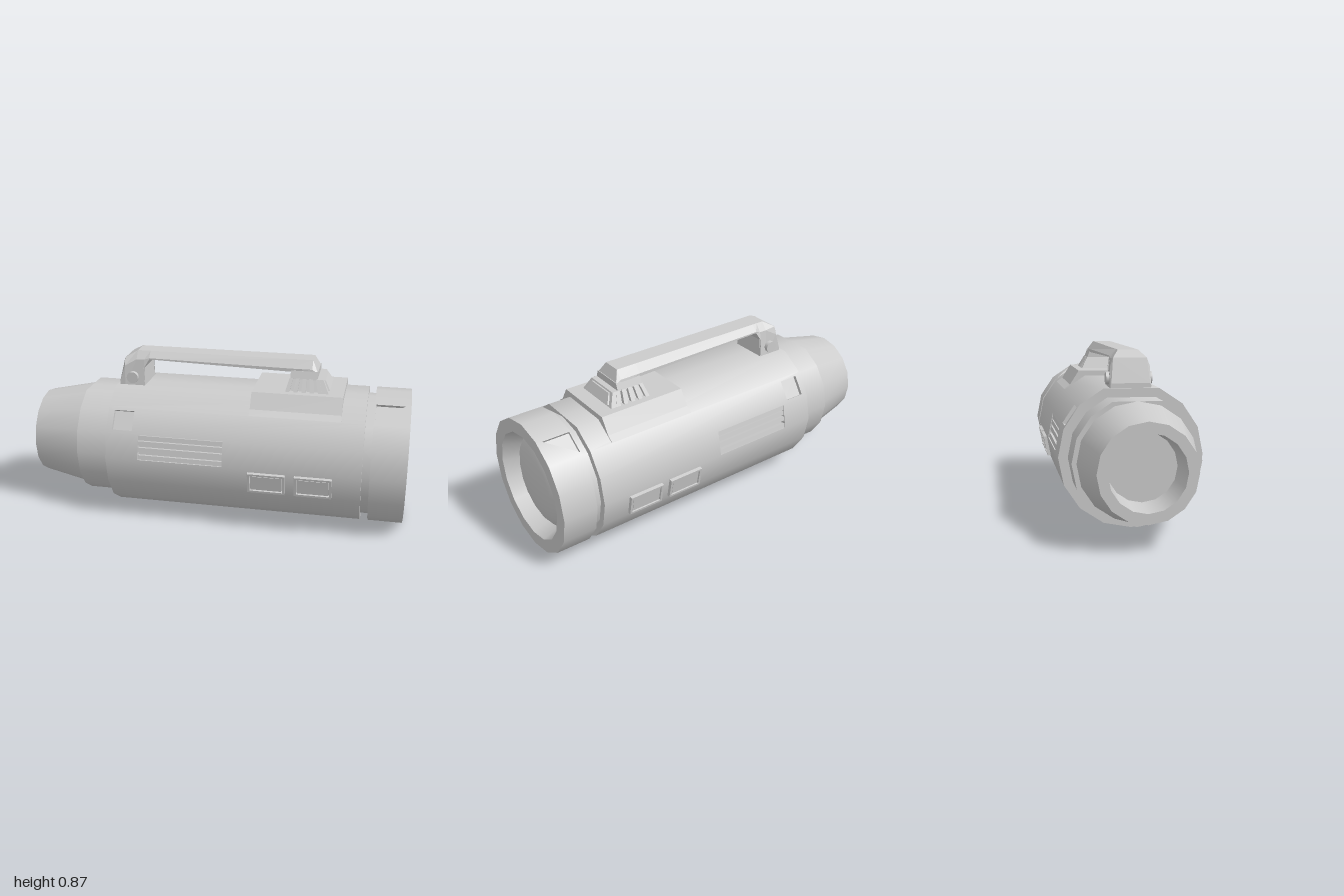
import * as THREE from 'three';
import { mergeGeometries } from 'three/addons/utils/BufferGeometryUtils.js';
import { ConvexGeometry } from 'three/addons/geometries/ConvexGeometry.js';

const CY = 0.357, R = 0.357, STEP = Math.PI / 8;
const H = R * Math.sin(STEP / 2), APOTHEM = R * Math.cos(STEP / 2);
const FLAT_BODY = CY + R * Math.cos(STEP), FLAT_REAR = CY + 0.31 * Math.cos(STEP);
const mat = new THREE.MeshStandardMaterial({ color: 0xcccccc });

function add(parent, name, geo) {
  const mesh = new THREE.Mesh(geo, mat);
  mesh.name = name;
  parent.add(mesh);
  return mesh;
}

// Cut off everything above a level, giving the barrel its flat top
function clampTop(geo, top) {
  const p = geo.attributes.position;
  for (let i = 0; i < p.count; i++) p.setY(i, Math.min(p.getY(i), top));
  return geo;
}

// Sixteen-sided bands along x from [radius, x] pairs, hard edges between bands
function bands(points, top = 9) {
  const list = [];
  for (let i = 0; i + 1 < points.length; i++) {
    const pair = [points[i], points[i + 1]].map(([r, x]) => new THREE.Vector2(r, x));
    const g = new THREE.LatheGeometry(pair, 16).rotateZ(-Math.PI / 2).translate(0, CY, 0);
    list.push(clampTop(g, top));
  }
  return mergeGeometries(list);
}

// Move facet-local geometry (x along, y around, z outward) onto facet k
const onFacet = (geo, k) => geo.translate(0, 0, APOTHEM).rotateX(-(k + 0.5) * STEP).translate(0, CY, 0);

const toShape = (pts) => new THREE.Shape(pts.map(([x, y]) => new THREE.Vector2(x, y)));

// One barrel facet with sunken pockets; a pocket is { pts, depth }
function facet(k, x0, x1, pockets) {
  const shape = toShape([[x0, -H], [x1, -H], [x1, H], [x0, H]]);
  const parts = [];
  for (const { pts, depth } of pockets) {
    const loop = THREE.ShapeUtils.area(pts.map(([x, y]) => new THREE.Vector2(x, y))) < 0 ? [...pts].reverse() : pts;
    shape.holes.push(toShape(loop));
    parts.push(new THREE.ShapeGeometry(toShape(loop)).translate(0, 0, -depth).toNonIndexed());
    const v = [];
    loop.forEach(([ax, ay], i) => {
      const [bx, by] = loop[(i + 1) % loop.length];
      v.push(ax, ay, 0, ax, ay, -depth, bx, by, -depth, ax, ay, 0, bx, by, -depth, bx, by, 0);
    });
    // pocket walls face inward
    for (let i = 0; i < v.length; i += 9) {
      for (let j = 0; j < 3; j++) [v[i + 3 + j], v[i + 6 + j]] = [v[i + 6 + j], v[i + 3 + j]];
    }
    const wall = new THREE.BufferGeometry();
    wall.setAttribute('position', new THREE.Float32BufferAttribute(v, 3));
    wall.computeVertexNormals();
    parts.push(wall);
  }
  const skin = new THREE.ShapeGeometry(shape).toNonIndexed();
  const p = skin.attributes.position, n = skin.attributes.normal;
  for (let i = 0; i < p.count; i++) {
    const a = (p.getY(i) / H) * STEP / 2;
    n.setXYZ(i, 0, Math.sin(a), Math.cos(a));
  }
  parts.push(skin);
  parts.forEach((g) => g.deleteAttribute('uv'));
  return onFacet(mergeGeometries(parts), k);
}

// A full ring of facets; pockets are keyed by facet on the left half and mirrored
function facetRing(x0, x1, pockets, top) {
  const list = [];
  for (let k = 0; k < 16; k++) {
    const mirrored = k >= 4 && k < 8;
    const own = (pockets[mirrored ? 7 - k : k] || []).map(({ pts, depth }) => ({
      depth, pts: pts.map(([x, y]) => [x, mirrored ? -y : y]),
    }));
    list.push(facet(k, x0, x1, own));
  }
  return clampTop(mergeGeometries(list), top);
}

const rect = (x0, x1, y0, y1) => [[x0, y0], [x1, y0], [x1, y1], [x0, y1]];
const hull = (pts) => new ConvexGeometry(pts.map((p) => new THREE.Vector3(...p)));
// Convex solid along x from a half section of [z, y] points
const prism = (x0, x1, half) => hull([x0, x1].flatMap((x) => half.flatMap(([z, y]) => [[x, y, z], [x, y, -z]])));

// Handle cross-sections joined into a closed, flat-faced solid
// station: [x, topY, shoulderY, bottomY, topZ, shoulderZ, bottomZ]
function loft(stations) {
  const rings = stations.map(([x, t, s, b, tz, sz, bz]) =>
    [[x, t, tz], [x, t, -tz], [x, s, -sz], [x, b, -bz], [x, b, bz], [x, s, sz]]);
  const v = [], tri = (a, b, c) => v.push(...a, ...b, ...c);
  for (let i = 0; i + 1 < rings.length; i++) {
    for (let j = 0; j < 6; j++) {
      const a = rings[i], b = rings[i + 1], n = (j + 1) % 6;
      tri(a[j], b[j], b[n]);
      tri(a[j], b[n], a[n]);
    }
  }
  const last = rings[rings.length - 1];
  for (let j = 1; j < 5; j++) {
    tri(rings[0][0], rings[0][j], rings[0][j + 1]);
    tri(last[0], last[j + 1], last[j]);
  }
  const g = new THREE.BufferGeometry();
  g.setAttribute('position', new THREE.Float32BufferAttribute(v, 3));
  g.computeVertexNormals();
  return g;
}

export function createModel() {
  const model = new THREE.Group();
  model.name = 'scope';

  // Barrel with vent and window pockets on both sides
  add(model, 'barrel', facetRing(-0.555, 0.78, {
    0: [{ pts: rect(-0.38, 0.07, -0.066, 0.067), depth: 0.03 }],
    1: [{ pts: rect(-0.523, -0.415, -0.053, 0.053), depth: 0.018 }],
  }, FLAT_BODY));
  add(model, 'barrelRearFace', bands([[0.25, -0.555], [R, -0.555]], FLAT_BODY));
  add(model, 'barrelFrontFace', bands([[R, 0.78], [0.28, 0.78]], FLAT_BODY));

  // Rear collar and eyepiece with sunken opening
  add(model, 'rearCollar', bands([[0.25, -0.73], [0.31, -0.73], [0.31, -0.555]], FLAT_REAR));
  add(model, 'eyepiece', bands([[0, -0.84], [0.165, -0.84], [0.18, -1], [0.23, -1], [0.287, -0.73]]));

  // Front groove, head ring with triangular pockets, and lens
  add(model, 'frontGroove', bands([[0.322, 0.78], [0.322, 0.82]]));
  add(model, 'headRing', facetRing(0.82, 1, {
    2: [{ pts: [[0.826, -0.055], [0.97, 0.06], [0.826, 0.06]], depth: 0.015 }],
  }, 9));
  add(model, 'headRearFace', bands([[0.28, 0.82], [R, 0.82]]));
  add(model, 'headRim', bands([[R, 1], [0.286, 1], [0.25, 0.9]]));
  const dome = [];
  for (let i = 0; i <= 8; i++) {
    const a = (i / 8) * Math.PI / 2;
    dome.push(new THREE.Vector2(0.25 * Math.cos(a), 0.9 + 0.075 * Math.sin(a)));
  }
  add(model, 'lens', new THREE.LatheGeometry(dome, 16).rotateZ(-Math.PI / 2).translate(0, CY, 0));

  // Vent slats and framed side buttons, both sides
  for (const side of [1, -1]) {
    const up = side > 0 ? 0 : 7, low = side > 0 ? 15 : 8;
    for (const y of [-0.052, -0.012, 0.022, 0.052]) {
      const slat = new THREE.BoxGeometry(0.45, 0.023, 0.026).translate(-0.155, y * side, -0.017);
      add(model, 'ventSlat', onFacet(slat, up));
    }
    for (const [x0, x1] of [[0.205, 0.398], [0.445, 0.636]]) {
      const frame = toShape(rect(x0, x1, -0.056, 0.056));
      frame.holes.push(toShape(rect(x0 + 0.012, x1 - 0.012, -0.045, 0.045)));
      const frameGeo = new THREE.ExtrudeGeometry(frame, { depth: 0.03, bevelEnabled: false }).translate(0, 0, -0.012);
      add(model, 'buttonFrame', onFacet(frameGeo, low));
      const button = new THREE.BoxGeometry(x1 - x0 - 0.034, 0.08, 0.02).translate((x0 + x1) / 2, 0, 0.004);
      add(model, 'button', onFacet(button, low));
    }
  }

  // Raised saddle on top of the barrel
  add(model, 'saddle', prism(0.19, 0.66, [[0.172, 0.715], [0.235, 0.615], [0.13, 0.6]]));
  add(model, 'saddleLip', prism(0.19, 0.66, [[0.14, 0.692], [0.256, 0.613], [0.13, 0.6]]));

  // Ribbed foot under the front of the handle
  const foot = new THREE.Group();
  foot.name = 'handleFoot';
  model.add(foot);
  const taper = (x0, x1, z0, y0, X0, X1, Z0, Y0) =>
    hull([1, -1].flatMap((s) => [[x0, y0, s * z0], [x1, y0, s * z0], [X0, Y0, s * Z0], [X1, Y0, s * Z0]]));
  add(foot, 'footCore', taper(0.37, 0.572, 0.115, 0.71, 0.385, 0.535, 0.08, 0.779));
  add(foot, 'footFrontPlate', taper(0.55, 0.585, 0.135, 0.71, 0.52, 0.55, 0.098, 0.779));
  add(foot, 'footPanel', taper(0.57, 0.587, 0.105, 0.725, 0.54, 0.561, 0.078, 0.772));
  add(foot, 'footNeck', prism(0.38, 0.52, [[0.1, 0.775], [0.085, 0.815]]));
  for (let i = 0; i < 5; i++) {
    const b = 0.357 + i * 0.043, t = 0.376 + i * 0.034;
    add(foot, 'footRib', taper(b, b + 0.022, 0.137, 0.71, t, t + 0.019, 0.1, 0.779));
  }

  // Carrying handle with rear post and pivot pin
  add(model, 'handle', loft([
    [-0.54, 0.71, 0.7, 0.68, 0.095, 0.1, 0.1],
    [-0.512, 0.832, 0.79, 0.68, 0.083, 0.098, 0.1],
    [-0.45, 0.867, 0.825, 0.68, 0.05, 0.083, 0.1],
    [-0.402, 0.867, 0.825, 0.68, 0.05, 0.083, 0.1],
    [-0.408, 0.867, 0.825, 0.78, 0.05, 0.083, 0.095],
    [-0.38, 0.867, 0.835, 0.828, 0.05, 0.083, 0.083],
    [0.38, 0.867, 0.825, 0.808, 0.05, 0.083, 0.083],
    [0.49, 0.867, 0.825, 0.795, 0.05, 0.083, 0.09],
    [0.516, 0.815, 0.81, 0.79, 0.08, 0.085, 0.09],
  ]));
  add(model, 'pivotPin', new THREE.CylinderGeometry(0.031, 0.031, 0.228, 16).rotateX(Math.PI / 2).translate(-0.468, 0.73, 0));

  return model;
}
